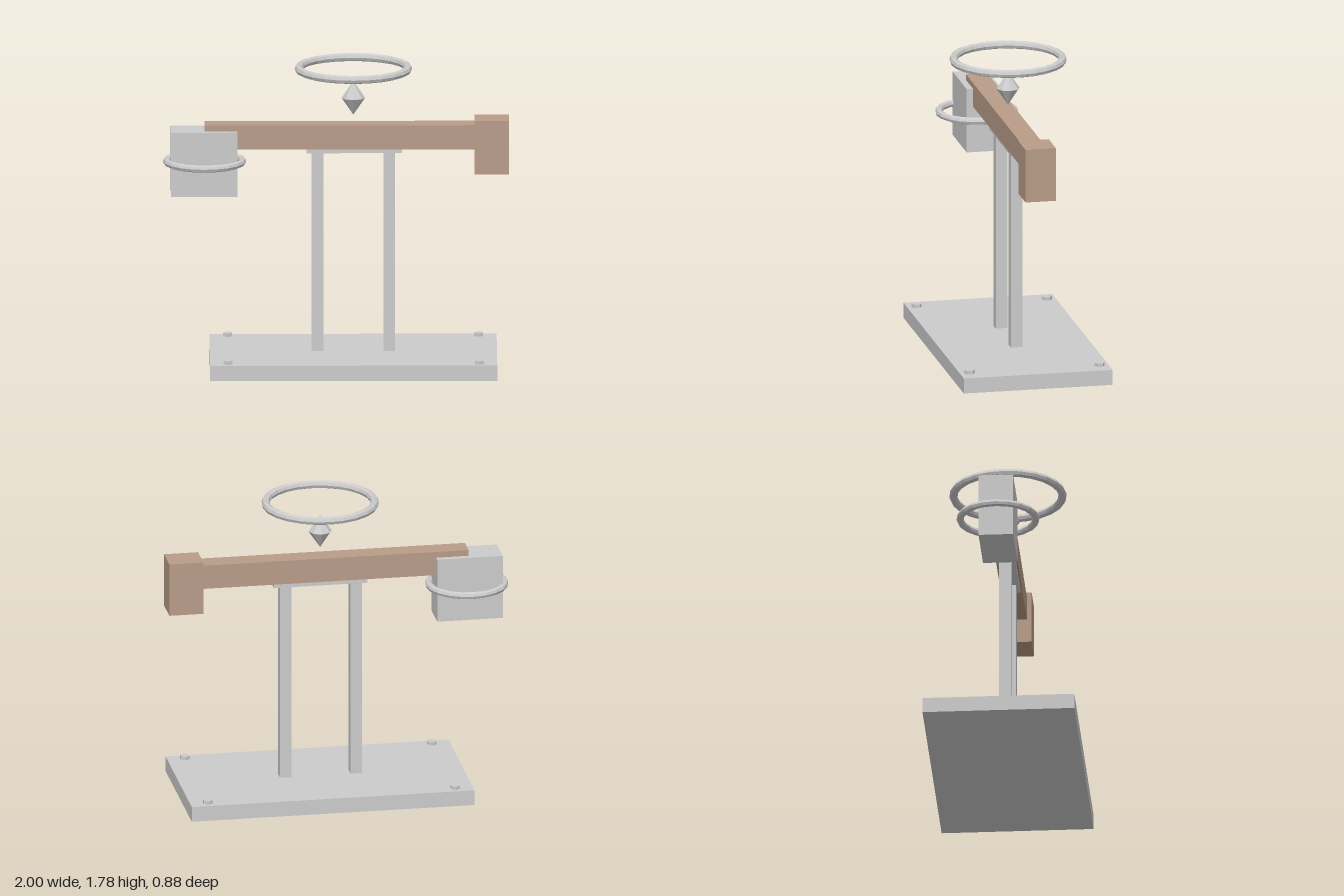
import * as THREE from 'three';

const grey = new THREE.MeshStandardMaterial({ color: 0xcccccc, flatShading: true });
const brown = new THREE.MeshStandardMaterial({ color: 0xb89c88, flatShading: true });
const CENTRE = 0.1; // x of the stand's axis

export function createModel() {
  const model = new THREE.Group();
  model.name = 'balanceBeamStand';

  const add = (name, geometry, x, y, z = 0, material = grey) => {
    const mesh = new THREE.Mesh(geometry, material);
    mesh.name = name;
    mesh.position.set(x, y, z);
    model.add(mesh);
    return mesh;
  };
  // Box given by its x range, y range and depth, centred on z = 0
  const addBox = (name, x0, x1, y0, y1, depth, material) =>
    add(name, new THREE.BoxGeometry(x1 - x0, y1 - y0, depth), (x0 + x1) / 2, (y0 + y1) / 2, 0, material);
  // Ring lying flat
  const addRing = (name, radius, tube, segments, x, y) =>
    add(name, new THREE.TorusGeometry(radius, tube, 8, segments).rotateX(Math.PI / 2), x, y);

  // Base plate with a hexagonal bolt near each corner
  addBox('base', -0.73, 0.93, 0, 0.09, 0.88);
  for (const sx of [-1, 1])
    for (const sz of [-1, 1])
      add('bolt', new THREE.CylinderGeometry(0.03, 0.03, 0.03, 6), CENTRE + sx * 0.726, 0.095, sz * 0.385);

  // Two posts and the plate joining them
  for (const s of [-1, 1]) {
    const x = CENTRE + s * 0.207;
    addBox('post', x - 0.034, x + 0.034, 0.09, 1.265, 0.07);
  }
  addBox('topPlate', -0.17, 0.38, 1.263, 1.29, 0.105);

  // Beam with its end block
  addBox('beam', -0.76, 0.8, 1.288, 1.43, 0.125, brown);
  addBox('endBlock', 0.8, 1.0, 1.145, 1.46, 0.18, brown);

  // Head block and the ring around it
  addBox('headBlock', -0.955, -0.57, 1.015, 1.395, 0.2);
  addRing('headRing', 0.22, 0.021, 20, -0.76, 1.206);

  // Floating spindle: two eight-sided cones, base to base
  const profile = [[0, -0.1], [0.068, 0], [0, 0.1]].map(([r, y]) => new THREE.Vector2(r, y));
  add('spindle', new THREE.LatheGeometry(profile, 8), CENTRE, 1.58);

  // Large ring above the spindle
  addRing('upperRing', 0.316, 0.024, 24, CENTRE, 1.753);

  return model;
}
